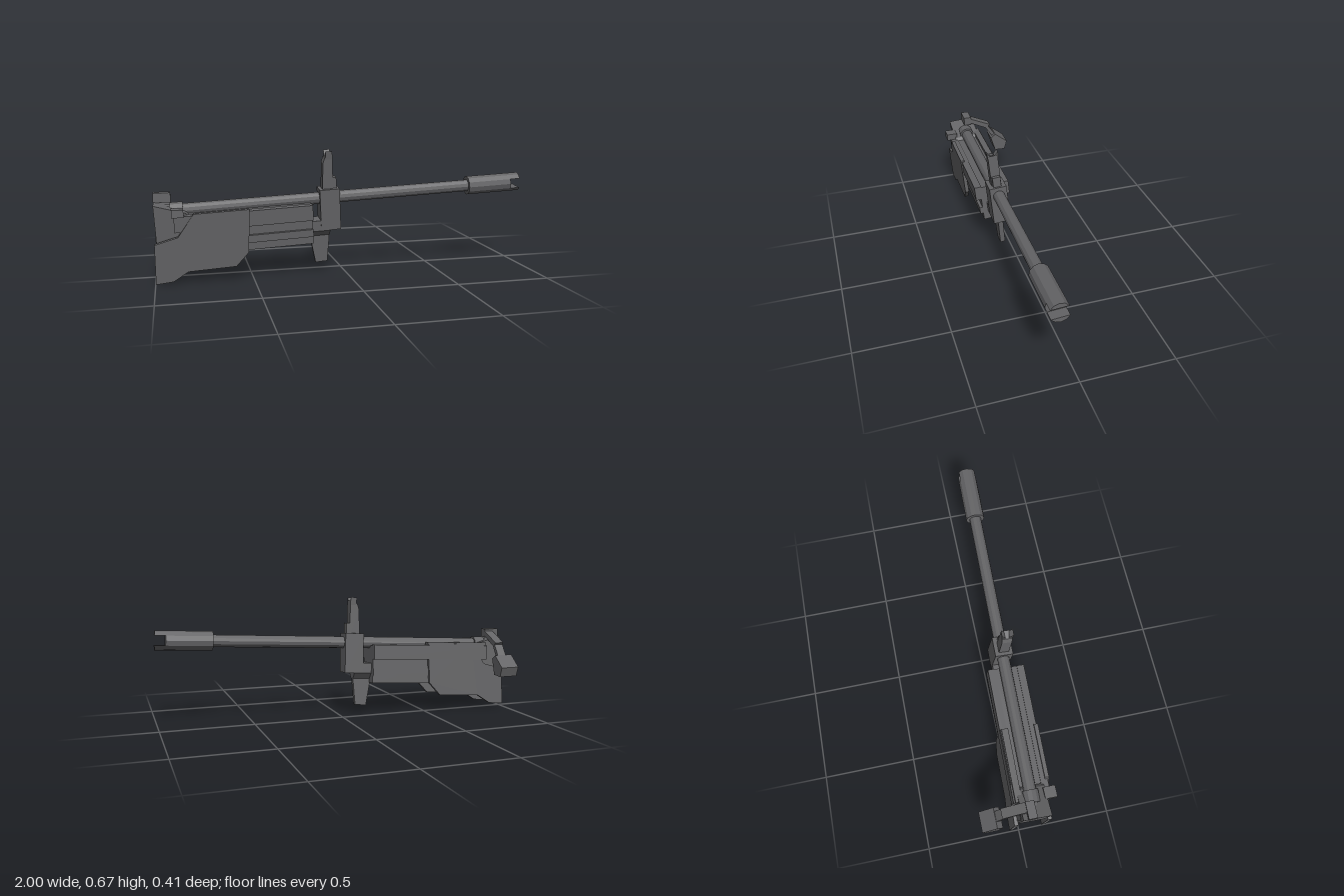
import * as THREE from 'three';

export function createModel() {
  const root = new THREE.Group();
  root.name = 'longGun';
  const metal = new THREE.MeshStandardMaterial({ color: 0x646466, flatShading: true });
  metal.name = 'darkGreyMetal';

  // The gun lies slightly pitched, yawed and rolled: x along the barrel, y up, z to its side
  const gun = new THREE.Group();
  gun.name = 'gun';
  const ax = new THREE.Vector3(1, 0.05, 0.021).normalize();
  const az = new THREE.Vector3().crossVectors(ax, new THREE.Vector3(-0.05, 1, 0.09)).normalize();
  const ay = new THREE.Vector3().crossVectors(az, ax);
  gun.setRotationFromMatrix(new THREE.Matrix4().makeBasis(ax, ay, az));
  gun.position.set(0, 0.413, 0.092);
  root.add(gun);

  function add(name, geometry, parent = gun) {
    const mesh = new THREE.Mesh(geometry, metal);
    mesh.name = name;
    parent.add(mesh);
    return mesh;
  }
  function extrude(points, depth) {
    const shape = new THREE.Shape(points.map(([a, b]) => new THREE.Vector2(a, b)));
    return new THREE.ExtrudeGeometry(shape, { depth, bevelEnabled: false });
  }
  // Side outline (x, y) spanning z0..z1
  const plate = (name, pts, z0, z1, parent) =>
    add(name, extrude(pts, z1 - z0).translate(0, 0, z0), parent);
  // Cross-section (z, y) spanning x0..x1
  const section = (name, pts, x0, x1, parent) =>
    add(name, extrude(pts.map(([z, y]) => [-z, y]), x1 - x0).rotateY(Math.PI / 2).translate(x0, 0, 0), parent);
  const box = (name, x0, x1, y0, y1, z0, z1, parent) =>
    add(name, new THREE.BoxGeometry(x1 - x0, y1 - y0, z1 - z0)
      .translate((x0 + x1) / 2, (y0 + y1) / 2, (z0 + z1) / 2), parent);
  const tube = (name, x0, x1, r) =>
    add(name, new THREE.CylinderGeometry(r, r, x1 - x0, 12).rotateZ(Math.PI / 2).translate((x0 + x1) / 2, 0, 0));

  // Barrel, rear collar and muzzle sleeve
  tube('barrel', -0.97, 0.72, 0.033);
  tube('barrelCollar', -0.915, -0.85, 0.043);
  tube('muzzleSleeve', 0.70, 0.945, 0.052);
  // Muzzle prongs above and below the slot
  for (const s of [1, -1]) {
    const arc = [];
    for (let i = 1; i <= 5; i++) {
      const a = (i * Math.PI) / 6;
      arc.push([0.052 * Math.cos(a), s * 0.052 * Math.sin(a)]);
    }
    section('muzzleProng', arc, 0.94, 1.0);
  }

  // Front clamp block, bracket and lower stub
  box('clampBlock', -0.14, -0.033, -0.17, 0.052, -0.048, 0.048);
  section('stubBracket', [[-0.046, -0.115], [0.046, -0.115], [0.046, -0.172], [0.016, -0.205], [-0.016, -0.205], [-0.046, -0.172]],
    -0.195, -0.09);
  plate('lowerStub', [[-0.2, -0.19], [-0.173, -0.357], [-0.108, -0.355], [-0.09, -0.19]], -0.014, 0.014);

  // Front sight with two horns
  plate('sightFin', [[-0.122, 0.05], [-0.115, 0.19], [-0.104, 0.22], [-0.063, 0.235], [-0.065, 0.05]], -0.027, 0.027);
  box('sightFoot', -0.068, -0.045, 0.05, 0.11, -0.022, 0.022);
  for (const s of [1, -1])
    section('sightHorn', [[s * 0.027, 0.21], [s * 0.031, 0.254], [s * 0.012, 0.232], [s * 0.008, 0.21]], -0.1, -0.066);

  // Receiver core with stepped side rails
  box('receiverCore', -0.985, -0.19, -0.228, -0.015, -0.072, 0.075);
  plate('rearReceiver', [[-0.995, 0.05], [-0.995, -0.2], [-0.84, -0.2], [-0.81, -0.03], [-0.84, 0.0]], -0.07, 0.078);
  for (const s of [1, -1]) {
    const c = 0.006;
    const rail = (name, x0, x1, y0, y1, inner, outer) => {
      const [a, b] = [c + s * inner, c + s * outer];
      box(name, x0, x1, y0, y1, Math.min(a, b), Math.max(a, b));
    };
    rail('upperRail', -0.9, -0.19, -0.092, -0.01, 0.06, 0.099);
    rail('lowerRail', -0.9, -0.19, -0.185, -0.145, 0.06, 0.086);
  }
  box('topStrip', -0.9, -0.52, -0.02, 0.008, -0.085, -0.05);

  // Large side shrouds
  const shroud = [[-1.016, -0.354], [-0.927, -0.348], [-0.85, -0.302], [-0.605, -0.299], [-0.536, -0.228],
    [-0.52, 0.0], [-0.8, 0.0], [-0.886, -0.115], [-1.005, -0.144]];
  plate('leftShroud', shroud, 0.09, 0.112);
  plate('rightShroud', shroud, -0.09, -0.068);

  // Small knob on the left side
  box('sideKnob', -0.91, -0.85, 0.35, 0.39, 0.14, 0.203, root);

  // Cranked bolt handle on the right side
  box('handleRoot', -0.998, -0.91, 0.41, 0.46, 0.03, 0.075, root);
  section('handleArm', [[0.055, 0.458], [0.055, 0.43], [-0.065, 0.372], [-0.108, 0.305], [-0.125, 0.32],
    [-0.084, 0.38], [-0.094, 0.392]], -0.962, -0.91, root);
  section('handleGrip', [[-0.125, 0.324], [-0.095, 0.3], [-0.122, 0.21], [-0.185, 0.207], [-0.203, 0.262]],
    -0.998, -0.89, root);

  return root;
}
